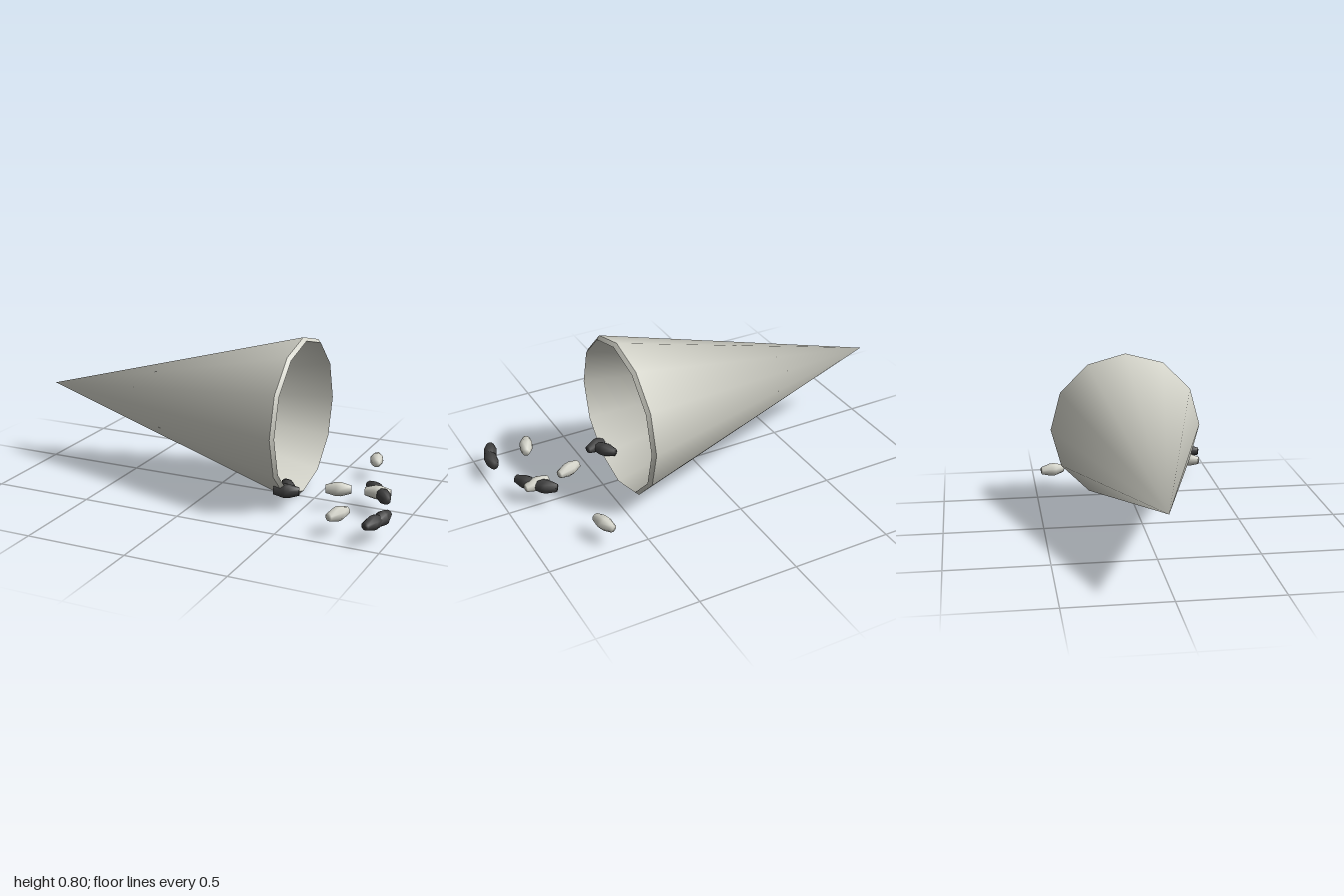
import * as THREE from 'three';
import { mergeVertices } from 'three/addons/utils/BufferGeometryUtils.js';

// Lathe with fully shared vertices, so the normals blend over tips and seams
function smoothLathe(profile, sides) {
  const g = new THREE.LatheGeometry(profile.map(([r, y]) => new THREE.Vector2(r, y)), sides);
  g.deleteAttribute('normal');
  g.deleteAttribute('uv');
  const merged = mergeVertices(g, 1e-4);
  merged.computeVertexNormals();
  return merged;
}

export function createModel() {
  const model = new THREE.Group();
  const paper = new THREE.MeshStandardMaterial({ color: 0xd2d2c8 });
  paper.name = 'pale grey';
  const dark = new THREE.MeshStandardMaterial({ color: 0x404040 });
  dark.name = 'dark grey';

  // Hollow cone lying on its side, mouth towards +x
  const cone = new THREE.Group();
  cone.name = 'cone';
  cone.position.set(0, 0.4, -0.03);
  cone.rotation.z = Math.PI / 2;
  const walls = {
    coneOuterWall: [[0.398, -0.413], [0, 1]],
    coneRim: [[0.381, -0.43], [0.398, -0.413]],
    coneInnerWall: [[0, 0.92], [0.381, -0.43]],
  };
  for (const [name, profile] of Object.entries(walls)) {
    const mesh = new THREE.Mesh(smoothLathe(profile, 12), paper);
    mesh.name = name;
    cone.add(mesh);
  }
  model.add(cone);

  // Barrel-shaped seeds scattered in front of the mouth
  const seedGeometry = smoothLathe([[0, -0.062], [0.02, -0.062], [0.034, -0.012],
    [0.034, 0.012], [0.02, 0.062], [0, 0.062]], 8);
  const addSeeds = (name, material, list) => list.forEach(([x, z, dx, dz]) => {
    const seed = new THREE.Mesh(seedGeometry, material);
    seed.name = name;
    seed.position.set(x, 0.1, z);
    seed.quaternion.setFromUnitVectors(new THREE.Vector3(0, 1, 0),
      new THREE.Vector3(dx, 0, dz).normalize());
    model.add(seed);
  });
  // Each entry: x, z, then the direction of the long axis
  addSeeds('lightSeed', paper, [
    [0.68, -0.405, 0.03, 0.11],
    [0.65, 0.075, 0.11, -0.04],
    [0.835, 0.035, 0.12, -0.02],
    [0.757, 0.37, 0.045, -0.11],
  ]);
  addSeeds('darkSeed', dark, [
    [0.81, -0.005, 0.09, 0.08],
    [0.875, 0.07, 0.06, 0.1],
    [0.957, 0.335, -0.01, 0.11],
    [0.938, 0.4, 0.04, -0.11],
    [0.435, 0.205, 0.1, -0.03],
    [0.42, 0.15, 0.055, 0.083],
  ]);
  return model;
}
